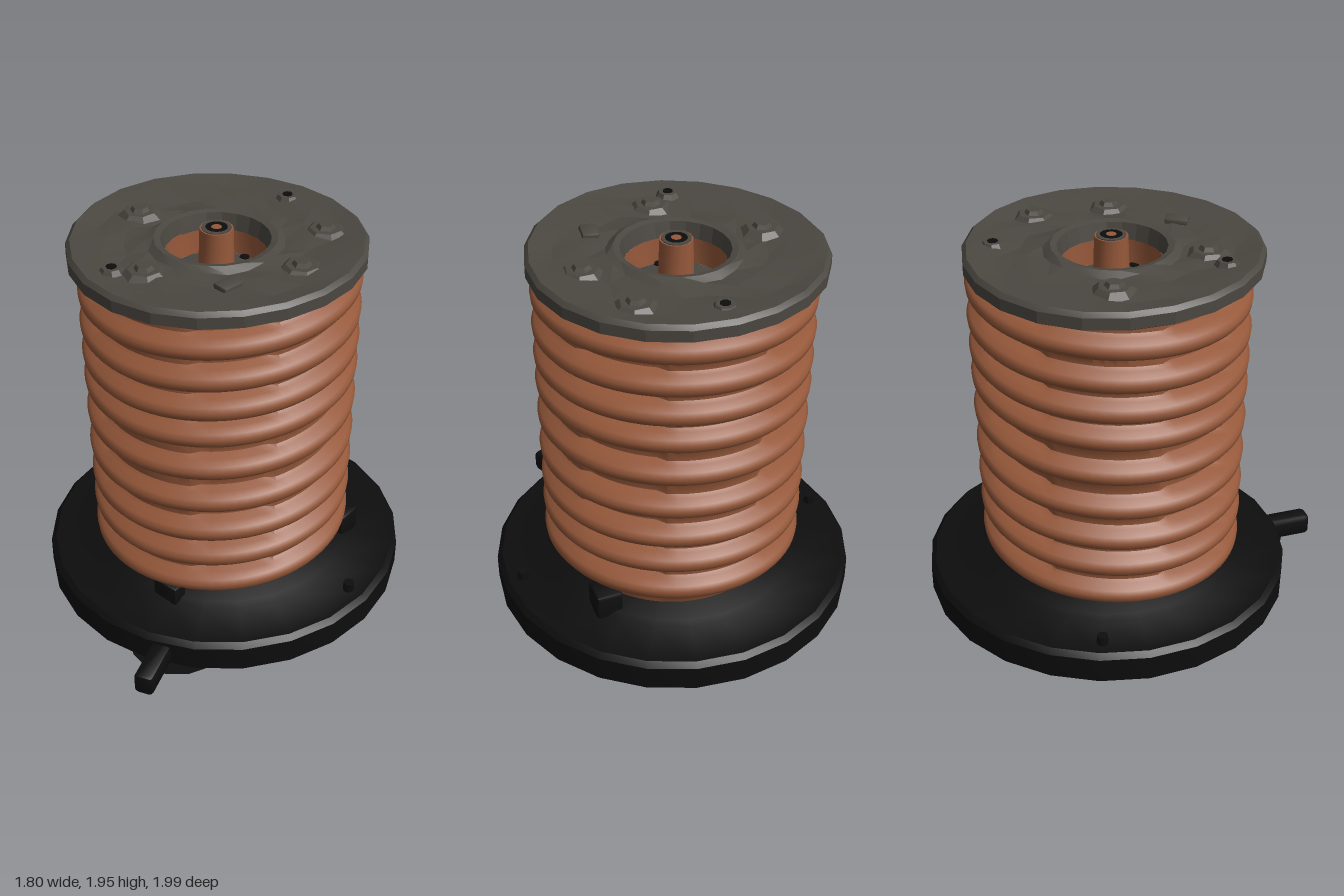
import * as THREE from 'three';
import { toCreasedNormals } from 'three/addons/utils/BufferGeometryUtils.js';
import { RoundedBoxGeometry } from 'three/addons/geometries/RoundedBoxGeometry.js';

const material = (name, color) => new THREE.MeshStandardMaterial({ name, color });

// Lathe from [radius, y] pairs, bottom to top
const lathe = (pts, sides) =>
  new THREE.LatheGeometry(pts.map(([r, y]) => new THREE.Vector2(r, y)), sides);

// Move every vertex of a geometry by a rule
function bend(geo, rule) {
  const p = geo.attributes.position, v = new THREE.Vector3();
  for (let i = 0; i < p.count; i++) {
    v.fromBufferAttribute(p, i);
    rule(v);
    p.setXYZ(i, v.x, v.y, v.z);
  }
  geo.computeVertexNormals();
  return geo;
}

export function createModel() {
  const group = new THREE.Group();
  const copper = material('copper', 0x95583a);
  const grey = material('dark grey metal', 0x4b4741);
  const black = material('black', 0x0d0d0d);

  const add = (name, geo, mat, x = 0, y = 0, z = 0, crease = 0.6) => {
    const mesh = new THREE.Mesh(toCreasedNormals(geo, crease), mat);
    mesh.name = name;
    mesh.position.set(x, y, z);
    group.add(mesh);
    return mesh;
  };
  const cyl = (r1, r2, h, n = 16) => new THREE.CylinderGeometry(r1, r2, h, n);

  // Ribbed copper body, its grooves stepped in at four upright panels
  const ribs = [0.37, 0.535, 0.69, 0.865, 1.055, 1.24, 1.385, 1.54, 1.705];
  const profile = [[0.53, 0.17], [0.535, 0.25], [0.58, 0.29]];
  for (const y of ribs) {
    profile.push([0.588, y - 0.068], [0.6, y - 0.056], [0.64, y - 0.042], [0.657, y - 0.02],
      [0.66, y + 0.008], [0.645, y + 0.03], [0.605, y + 0.047], [0.588, y + 0.062]);
  }
  profile.push([0.588, 1.84]);
  const panels = [[27, 64], [114, 150], [205, 240], [296, 331]];
  const body = bend(lathe(profile, 72), (v) => {
    const r = Math.hypot(v.x, v.z);
    const angle = (Math.atan2(v.x, v.z) * 180 / Math.PI + 360) % 360;
    const inPanel = panels.some(([a, b]) => angle > a && angle < b);
    let k = 0.965 + 0.035 * Math.min(1, v.y / 1.6);
    if (inPanel && r < 0.602 && v.y > 0.28) k *= 0.96;
    const lean = Math.min(1, Math.max(0, (v.y - 0.2) / 0.15)) * (v.y > 1.8 ? 0 : 1);
    v.y += lean * (0.03 * v.x - 0.055 * v.z);
    v.x = v.x * k - 0.01 * v.y;
    v.z *= k * 1.01;
  });
  add('ribbedBody', body, copper, 0, 0, -0.06, 0.8);

  // Base disc with softened edges, leaning slightly
  const base = lathe([[0, 0.04], [0.87, 0.04], [0.9, 0.06], [0.9, 0.185], [0.875, 0.21],
    [0.66, 0.212], [0.62, 0.235], [0, 0.24]], 24);
  add('baseDisc', bend(base, (v) => { v.y -= 0.012 * v.z; v.z *= 1.015; }), black, 0, 0, -0.08);

  // Base fittings: side pegs, upright tabs, pull handle and its root
  for (const s of [-1, 1]) add('basePeg', cyl(0.026, 0.032, 0.1, 10), black, s * 0.8, 0.205, -0.07);
  add('frontTab', new RoundedBoxGeometry(0.14, 0.14, 0.08, 1, 0.01), black, 0.14, 0.23, 0.52);
  add('sideTab', new RoundedBoxGeometry(0.13, 0.18, 0.14, 1, 0.015), black, 0.49, 0.25, -0.43);
  const handle = add('handle', new RoundedBoxGeometry(0.1, 0.115, 0.36, 1, 0.025), black, 0.315, 0.1, 0.82);
  handle.rotation.y = 0.33;
  add('handleRoot', cyl(0.24, 0.16, 0.05, 14), black, 0.27, 0.027, 0.61);

  // Top plate: worn upper face, raised rim and sunken centre
  const plate = lathe([[0.4, 1.815], [0.67, 1.815], [0.695, 1.83], [0.695, 1.885], [0.675, 1.905],
    [0.56, 1.895], [0.42, 1.89], [0.32, 1.892], [0.285, 1.906], [0.255, 1.9], [0.24, 1.82]], 22);
  bend(plate, (v) => {
    const r = Math.hypot(v.x, v.z), a = Math.atan2(v.x, v.z);
    if (r > 0.3 && r < 0.6 && v.y > 1.85) v.y += 0.011 * Math.sin(5 * a + r * 20) - 0.004;
    if (r > 0.6) {
      const k = 1 + 0.012 * Math.sin(3 * a + 1);
      v.x *= k;
      v.z *= k;
    }
    v.y += 0.01 * v.x;
  });
  add('topPlate', plate, grey, -0.03, 0, -0.045, 0.25);
  const wall = lathe([[0.24, 1.825], [0.235, 1.7]], 22);
  add('wellWall', wall, copper, -0.03, 0, -0.05);
  add('wellFloor', lathe([[0.236, 1.7], [0, 1.74]], 16), grey, -0.03, 0, -0.05, 0.1);

  // Centre post with a dark ringed end
  add('centrePost', cyl(0.078, 0.085, 0.24, 14), copper, -0.03, 1.827, -0.05);
  add('postCap', cyl(0.07, 0.07, 0.006, 14), grey, -0.03, 1.948, -0.05);
  const ring = new THREE.RingGeometry(0.025, 0.052, 14).rotateX(-Math.PI / 2);
  add('postRing', ring, black, -0.03, 1.952, -0.05);
  add('postCore', cyl(0.024, 0.024, 0.006, 10), copper, -0.03, 1.95, -0.05);
  for (const [x, z] of [[-0.03, -0.26], [0.17, 0.05], [-0.03, 0.16]])
    add('wellHole', cyl(0.024, 0.024, 0.006, 8), black, x, 1.709, z);

  // Bolts with surrounding lugs and two small dark holes on the plate
  for (const [x, z] of [[0.43, -0.08], [-0.47, -0.02], [0.31, -0.43], [-0.08, 0.39]]) {
    add('boltLug', cyl(0.075, 0.11, 0.03, 7), grey, x, 1.892, z, 0.2);
    add('boltHead', cyl(0.035, 0.048, 0.02, 6), grey, x, 1.916, z, 0.2);
  }
  const clip = add('clip', new RoundedBoxGeometry(0.08, 0.03, 0.11, 1, 0.01), grey, 0.28, 1.895, 0.25);
  clip.rotation.y = -0.15;
  for (const [x, z] of [[-0.03, -0.59], [-0.2, 0.47]]) {
    add('holeCollar', cyl(0.045, 0.06, 0.025, 8), grey, x, 1.897, z, 0.2);
    add('plateHole', cyl(0.025, 0.025, 0.006, 8), black, x, 1.91, z);
  }

  // The open well wall faces inward
  const inner = group.getObjectByName('wellWall').material.clone();
  inner.name = 'copper inside';
  inner.side = THREE.DoubleSide;
  group.getObjectByName('wellWall').material = inner;
  return group;
}
